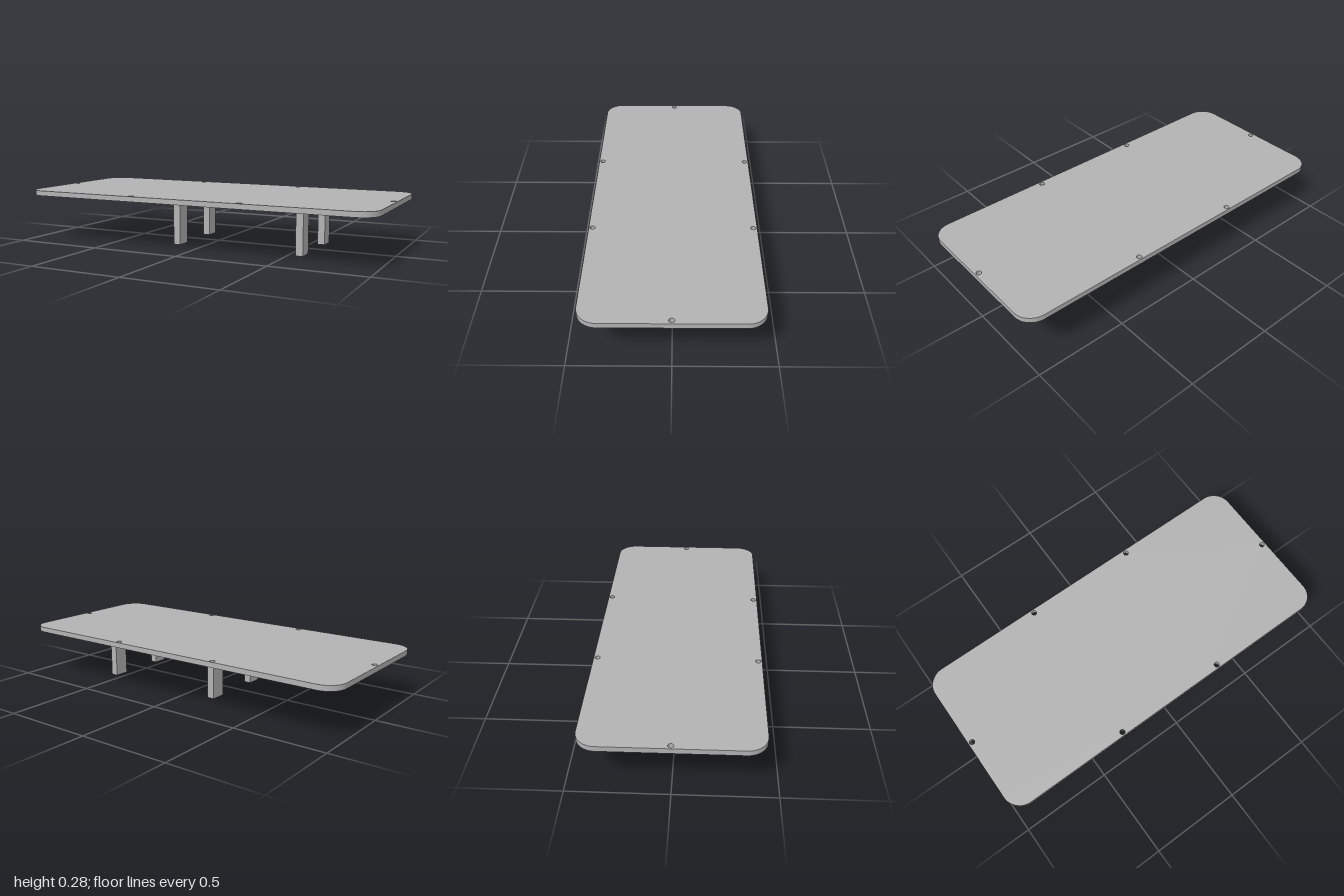
import * as THREE from 'three';

const grey = new THREE.MeshStandardMaterial({ color: 0xb3b3b3 });
grey.name = 'light grey';

const HALF_X = 1, HALF_Z = 0.437, CORNER = 0.1;
const UNDERSIDE = 0.253, TOP = 0.281;

// Rounded board pierced by small screw holes along its rim
function makeBoard() {
  const shape = new THREE.Shape();
  const cx = HALF_X - CORNER, cz = HALF_Z - CORNER;
  [[cx, cz], [-cx, cz], [-cx, -cz], [cx, -cz]].forEach(([x, z], i) =>
    shape.absarc(x, z, CORNER, i * Math.PI / 2, (i + 1) * Math.PI / 2, false));
  shape.closePath();

  const holes = [[-0.979, 0], [0.979, 0]];
  for (const x of [-0.315, 0.315]) for (const z of [-0.417, 0.417]) holes.push([x, z]);
  for (const [x, z] of holes) {
    shape.holes.push(new THREE.Path().absarc(x, z, 0.014, 0, Math.PI * 2, true));
  }

  const geometry = new THREE.ExtrudeGeometry(shape, {
    depth: TOP - UNDERSIDE, bevelEnabled: false, curveSegments: 14,
  });
  geometry.rotateX(-Math.PI / 2);
  const board = new THREE.Mesh(geometry, grey);
  board.position.y = UNDERSIDE;
  board.name = 'board';
  return board;
}

export function createModel() {
  const model = new THREE.Group();
  model.name = 'tableStand';
  model.add(makeBoard());

  // Four flat legs, set off-centre along the board
  const legGeometry = new THREE.BoxGeometry(0.04, UNDERSIDE, 0.083);
  for (const [x, side] of [[-0.153, 'right'], [0.559, 'left']]) {
    for (const [z, end] of [[0.175, 'Front'], [-0.175, 'Back']]) {
      const leg = new THREE.Mesh(legGeometry, grey);
      leg.position.set(x, UNDERSIDE / 2, z);
      leg.name = `${side}${end}Leg`;
      model.add(leg);
    }
  }
  return model;
}
